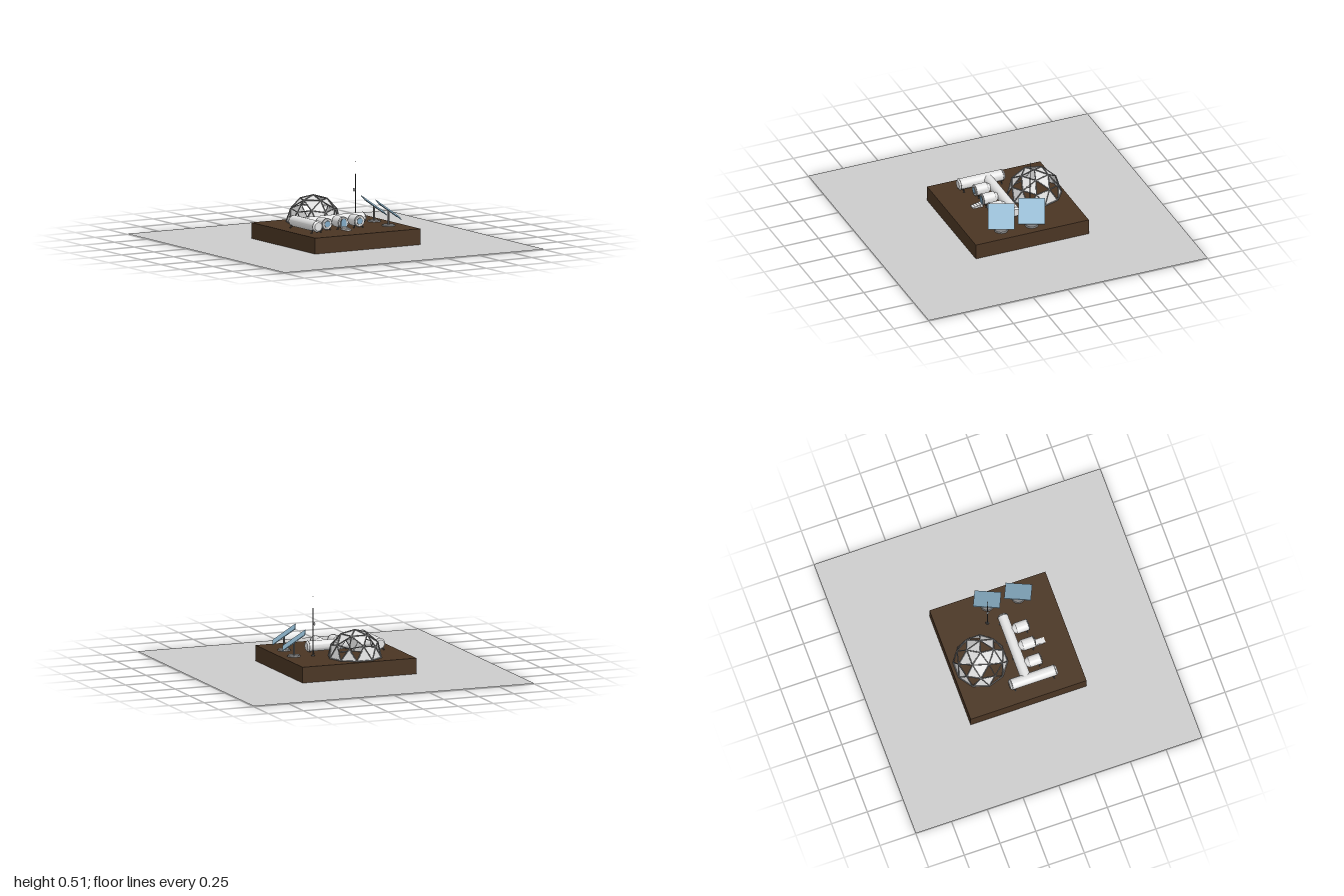
import * as THREE from 'three';
import { toCreasedNormals, mergeGeometries } from 'three/addons/utils/BufferGeometryUtils.js';

const paint = (name, color, side = THREE.FrontSide) => {
  const m = new THREE.MeshStandardMaterial({ color, side });
  m.name = name;
  return m;
};

export function createModel() {
  const root = new THREE.Group();
  root.name = 'outpost';
  const ground = paint('pale grey ground', 0xcccccc, THREE.DoubleSide);
  const soil = paint('brown soil', 0x4a3523);
  const white = paint('white hull', 0xe4e4e4);
  const panelWhite = paint('dome panel', 0xdedede, THREE.DoubleSide);
  const steel = paint('grey steel', 0x808080);
  const dark = paint('dark metal', 0x4c4c4c);
  const blue = paint('solar blue', 0x8fb6ce);
  const glass = paint('window blue', 0x7fa8c4);

  const add = (parent, name, geo, mat, x = 0, y = 0, z = 0) => {
    const m = new THREE.Mesh(geo, mat);
    m.name = name;
    m.position.set(x, y, z);
    parent.add(m);
    return m;
  };
  const group = (name, x = 0, y = 0, z = 0) => {
    const g = new THREE.Group();
    g.name = name;
    g.position.set(x, y, z);
    root.add(g);
    return g;
  };
  // Surface of revolution about y, with crisp chamfers
  const lathe = (pts) => toCreasedNormals(
    new THREE.LatheGeometry(pts.map(([r, y]) => new THREE.Vector2(r, y)), 24), 0.5);
  const TOP = 0.11, AXIS = 0.155;

  // Ground sheet and soil block
  add(root, 'groundPlane', new THREE.PlaneGeometry(2, 2).rotateX(-Math.PI / 2), ground, 0, 0.004, 0);
  add(root, 'soilBlock', new THREE.BoxGeometry(0.81, TOP, 0.81), soil, 0, TOP / 2, 0);

  // Geodesic dome, upper half with a vertex at the top
  const dome = group('dome', -0.048, TOP + 0.004, -0.21);
  const R = 0.179;
  const ico = new THREE.IcosahedronGeometry(R, 1);
  ico.applyQuaternion(new THREE.Quaternion().setFromUnitVectors(
    new THREE.Vector3(0, 1, (1 + Math.sqrt(5)) / 2).normalize(), new THREE.Vector3(0, 1, 0)));
  const pos = ico.attributes.position, edges = new Map(), sheet = [];
  let corner = 0;
  for (let i = 0; i < pos.count; i += 3) {
    const v = [0, 1, 2].map((k) => new THREE.Vector3().fromBufferAttribute(pos, i + k));
    if (v[0].y + v[1].y + v[2].y < 0.01) continue;
    const len = v.map((p, k) => p.distanceTo(v[(k + 1) % 3]));
    v.forEach((p, k) => {
      const q = v[(k + 1) % 3];
      const mid = p.clone().add(q).multiplyScalar(500).round();
      edges.set(mid.toArray().map((n) => n + 0).join(), [p, q]);
    });
    // Large centre triangles are filled, the others are partly left open
    const isCentre = Math.max(...len) - Math.min(...len) < 0.004;
    if (isCentre || corner++ % 2 === 0) v.forEach((p) => sheet.push(p.x * 0.985, p.y * 0.985, p.z * 0.985));
  }
  const sheetGeo = new THREE.BufferGeometry();
  sheetGeo.setAttribute('position', new THREE.Float32BufferAttribute(sheet, 3));
  sheetGeo.computeVertexNormals();
  add(dome, 'domePanels', sheetGeo, panelWhite);
  const up = new THREE.Vector3(0, 1, 0);
  const struts = [...edges.values()].map(([p, q]) => {
    const d = q.clone().sub(p), c = p.clone().add(q).multiplyScalar(0.5);
    return new THREE.CylinderGeometry(0.004, 0.004, d.length(), 6)
      .applyQuaternion(new THREE.Quaternion().setFromUnitVectors(up, d.normalize()))
      .translate(c.x, c.y, c.z);
  });
  add(dome, 'domeStruts', mergeGeometries(struts), steel);

  // Pressure tubes with chamfered ends
  const capped = (r, L) => lathe([[0, -L / 2], [r * 0.75, -L / 2], [r, -L / 2 + 0.01],
    [r, L / 2 - 0.01], [r * 0.75, L / 2], [0, L / 2]]);
  const ring = (parent, r, x, y, z) =>
    add(parent, 'collar', new THREE.TorusGeometry(r, 0.002, 6, 24), steel, x, y, z);
  const habitat = group('habitat');
  add(habitat, 'sideTube', capped(0.037, 0.33), white, -0.28, AXIS, 0.075).rotation.x = Math.PI / 2;
  add(habitat, 'mainTube', capped(0.035, 0.48), white, -0.04, AXIS, 0.03).rotation.z = -Math.PI / 2;
  for (const z of [-0.075, 0.228]) ring(habitat, 0.037, -0.28, AXIS, z);
  ring(habitat, 0.035, 0.188, AXIS, 0.03).rotation.y = Math.PI / 2;

  // Splayed legs under a tube
  const legs = (x, z, dx, dz) => {
    for (const s of [-1, 1]) {
      const leg = add(habitat, 'leg', new THREE.CylinderGeometry(0.003, 0.004, 0.034, 6), dark,
        x + s * dx, TOP + 0.015, z + s * dz);
      leg.rotation.set(-s * dz * 14, 0, s * dx * 14);
      add(habitat, 'foot', new THREE.CylinderGeometry(0.006, 0.006, 0.004, 8), dark,
        x + s * dx * 1.25, TOP + 0.002, z + s * dz * 1.25);
    }
  };
  for (const z of [-0.06, 0.21]) legs(-0.28, z, 0.028, 0);
  for (const x of [-0.1, 0.02, 0.16]) legs(x, 0.03, 0, 0.026);

  // Three front modules with tapered necks
  for (const x of [-0.17, -0.045, 0.08]) {
    add(habitat, 'module', lathe([[0.018, 0.04], [0.022, 0.06], [0.038, 0.083], [0.038, 0.164],
      [0.034, 0.17], [0, 0.17]]), white, x, AXIS, 0).rotation.x = Math.PI / 2;
    ring(habitat, 0.038, x, AXIS, 0.165);
    legs(x, 0.15, 0.028, 0);
    if (x === -0.045) continue;
    add(habitat, 'windowFrame', new THREE.TorusGeometry(0.021, 0.0025, 6, 24), steel, x, AXIS, 0.171);
    add(habitat, 'window', new THREE.CylinderGeometry(0.02, 0.02, 0.004, 24), glass, x, AXIS, 0.171)
      .rotation.x = Math.PI / 2;
  }

  // Arched door and entry steps
  const arch = (w, h) => {
    const s = new THREE.Shape();
    s.moveTo(-w, 0);
    s.lineTo(w, 0);
    s.lineTo(w, h);
    s.absarc(0, h, w, 0, Math.PI, false);
    return s;
  };
  const plate = (shape, depth) => new THREE.ExtrudeGeometry(shape, { depth, bevelEnabled: false });
  add(habitat, 'doorFrame', plate(arch(0.022, 0.04), 0.004), dark, -0.045, 0.122, 0.169);
  add(habitat, 'door', plate(arch(0.018, 0.038), 0.003), glass, -0.045, 0.124, 0.172);
  for (let i = 0; i < 4; i++) {
    const h = 0.02 - i * 0.004;
    add(habitat, 'step', new THREE.BoxGeometry(0.042 - (i % 2) * 0.004, h, 0.018), white,
      -0.045, TOP + h / 2, 0.179 + i * 0.0175);
  }

  // Tilted solar panels on pedestals
  for (const [x, z] of [[0.314, -0.034], [0.297, 0.177]]) {
    const solar = group('solarArray', x, 0, z);
    solar.rotation.y = -0.41;
    add(solar, 'pedestalBase', new THREE.CylinderGeometry(0.04, 0.045, 0.008, 20), steel, 0, TOP + 0.004, 0);
    add(solar, 'post', new THREE.CylinderGeometry(0.006, 0.006, 0.1, 10), steel, 0, TOP + 0.05, 0);
    const tilt = new THREE.Group();
    tilt.name = 'tiltingPanel';
    tilt.position.y = 0.215;
    tilt.rotation.z = -0.63;
    solar.add(tilt);
    add(tilt, 'solarPanel', new THREE.BoxGeometry(0.184, 0.005, 0.176), blue);
    add(tilt, 'backRail', new THREE.BoxGeometry(0.15, 0.006, 0.012), steel, 0, -0.005, 0);
  }

  // Radio mast with a thin whip and a small dish
  const mast = group('mast', 0.195, TOP, -0.075);
  add(mast, 'mastFoot', new THREE.CylinderGeometry(0.01, 0.012, 0.008, 12), dark, 0, 0.004, 0);
  add(mast, 'mastPole', new THREE.CylinderGeometry(0.003, 0.004, 0.32, 8), dark, 0, 0.16, 0);
  add(mast, 'whip', new THREE.CylinderGeometry(0.001, 0.001, 0.08, 6), dark, 0, 0.358, 0);
  add(mast, 'tip', new THREE.SphereGeometry(0.003, 8, 6), dark, 0, 0.4, 0);
  add(mast, 'dish', new THREE.CylinderGeometry(0.013, 0.006, 0.006, 16), white, -0.008, 0.215, 0)
    .rotation.z = Math.PI / 2;

  return root;
}
